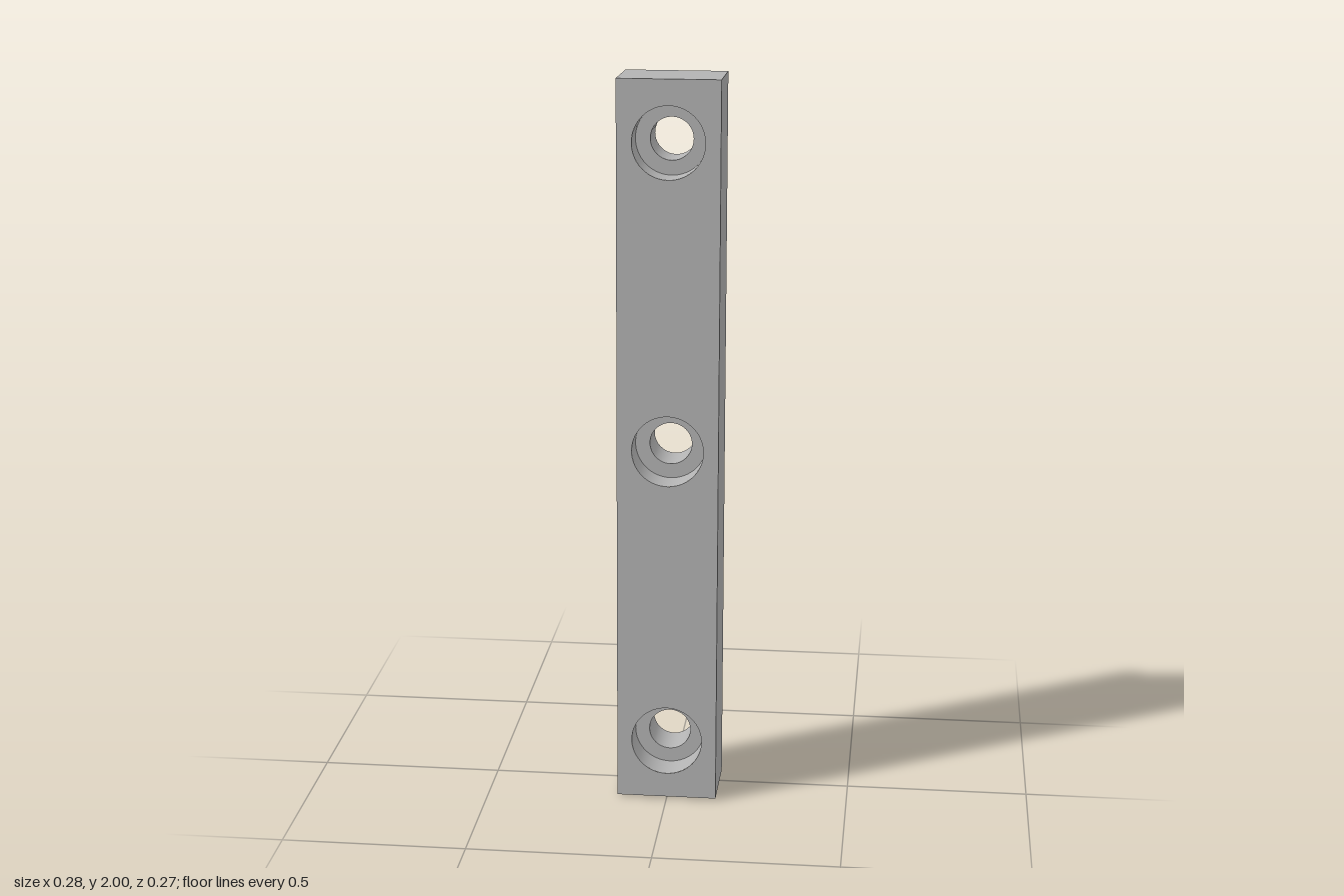
import * as THREE from 'three';

const WIDTH = 0.275, LENGTH = 1.994, DEPTH = 0.205, TILT = 0.032;
const BORE = 0.097, HOLE = 0.0575, BORE_DEPTH = 0.09;
const HOLE_Y = [-0.831, 0, 0.831];
const SEGMENTS = 64;

// Rectangular face pierced by a round opening at every hole position
function piercedFace(radius) {
  const w = WIDTH / 2, h = LENGTH / 2;
  const shape = new THREE.Shape();
  shape.moveTo(-w, -h).lineTo(w, -h).lineTo(w, h).lineTo(-w, h).closePath();
  for (const y of HOLE_Y) {
    shape.holes.push(new THREE.Path().absarc(0, y, radius, 0, Math.PI * 2, true));
  }
  return new THREE.ShapeGeometry(shape, SEGMENTS);
}

// Inward-facing cylinder wall between two depths
function holeWall(radius, zBack, zFront) {
  const profile = [new THREE.Vector2(radius, zFront), new THREE.Vector2(radius, zBack)];
  return new THREE.LatheGeometry(profile, SEGMENTS).rotateX(Math.PI / 2);
}

export function createModel() {
  const metal = new THREE.MeshStandardMaterial({ color: 0xb3b3b3 });
  metal.name = 'grey metal';
  const bar = new THREE.Group();
  bar.name = 'tiltedBar';
  const add = (name, geometry, y = 0) => {
    const mesh = new THREE.Mesh(geometry, metal);
    mesh.name = name;
    mesh.position.y = y;
    bar.add(mesh);
  };

  // Front and back faces: wide counterbores in front, narrow holes behind
  const front = DEPTH / 2, floor = front - BORE_DEPTH;
  add('frontFace', piercedFace(BORE).translate(0, 0, front));
  add('backFace', piercedFace(HOLE).rotateY(Math.PI).translate(0, 0, -front));

  // Four outer sides: a box without its front and back
  const sides = new THREE.BoxGeometry(WIDTH, LENGTH, DEPTH);
  sides.setIndex(Array.from(sides.index.array.slice(0, 24)));
  sides.clearGroups();
  add('outerSides', sides);

  // Stepped screw holes
  for (const y of HOLE_Y) {
    add('counterboreWall', holeWall(BORE, floor, front), y);
    add('counterboreFloor', new THREE.RingGeometry(HOLE, BORE, SEGMENTS).translate(0, 0, floor), y);
    add('screwHoleWall', holeWall(HOLE, -front, floor), y);
  }

  // The bar leans slightly backwards
  bar.rotation.x = -TILT;
  bar.position.y = 1;
  const model = new THREE.Group();
  model.name = 'mountingBar';
  model.add(bar);
  return model;
}
